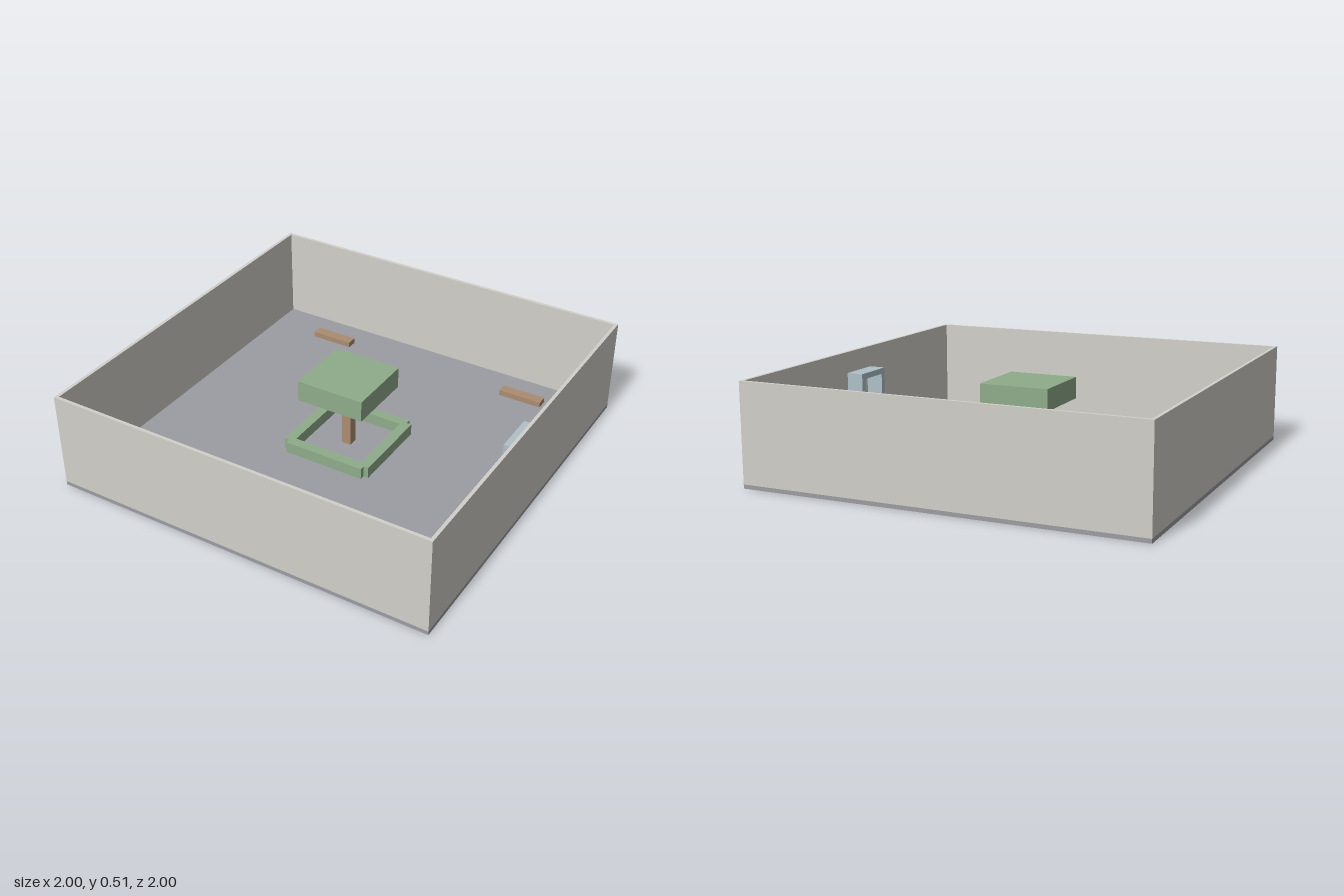
import * as THREE from 'three';

const paint = (color) => new THREE.MeshStandardMaterial({ color, flatShading: true });
const wallMat = paint(0xd2d0ca);
const floorMat = paint(0x9c9da3);
const greenMat = paint(0x8fac8a);
const woodMat = paint(0xab8d70);
const blueMat = paint(0xb0c0c8);

const FLOOR = 0.02; // top of the floor slab

// Box given by its size, the height of its underside and its centre in plan
function box(parent, name, mat, [w, h, d], x, bottom, z) {
  const mesh = new THREE.Mesh(new THREE.BoxGeometry(w, h, d), mat);
  mesh.name = name;
  mesh.position.set(x, bottom + h / 2, z);
  parent.add(mesh);
  return mesh;
}

function group(parent, name) {
  const g = new THREE.Group();
  g.name = name;
  parent.add(g);
  return g;
}

export function createModel() {
  const model = new THREE.Group();
  model.name = 'courtyard';

  box(model, 'floor', floorMat, [2, FLOOR, 2], 0, 0, 0);

  // Four enclosing walls
  const walls = group(model, 'walls');
  const t = 0.017, wallH = 0.49;
  for (const s of [-1, 1]) {
    box(walls, s > 0 ? 'frontWall' : 'backWall', wallMat, [2, wallH, t], 0, FLOOR, s * (1 - t / 2));
    box(walls, s > 0 ? 'leftWall' : 'rightWall', wallMat, [t, wallH, 2 - 2 * t], s * (1 - t / 2), FLOOR, 0);
  }

  // Square planter border, its four bars meeting in notched corners
  const planter = group(model, 'planterBorder');
  const c = 0.217, bar = 0.052, barH = 0.06;
  for (const s of [-1, 1]) {
    box(planter, 'borderBarX', greenMat, [2 * c, barH, bar], 0, FLOOR, s * c);
    box(planter, 'borderBarZ', greenMat, [bar, barH, 2 * c], s * c, FLOOR, 0);
  }

  // Tree in the middle
  const tree = group(model, 'tree');
  box(tree, 'trunk', woodMat, [0.05, 0.3, 0.05], 0, FLOOR, 0);
  box(tree, 'canopy', greenMat, [0.36, 0.11, 0.36], 0, 0.31, 0);

  // Low benches near the back wall
  for (const s of [-1, 1])
    box(model, s > 0 ? 'leftBench' : 'rightBench', woodMat, [0.235, 0.03, 0.056], s * 0.588, FLOOR, -0.809);

  // Doorway against the left wall
  const door = group(model, 'doorway');
  const post = 0.03, top = 0.4, depth = 0.088, doorX = 0.983 - depth / 2, half = 0.112;
  for (const s of [-1, 1])
    box(door, 'doorPost', blueMat, [depth, top - post - FLOOR, post], doorX, FLOOR, s * (half - post / 2));
  box(door, 'lintel', blueMat, [depth, post, 2 * half], doorX, top - post, 0);

  return model;
}
